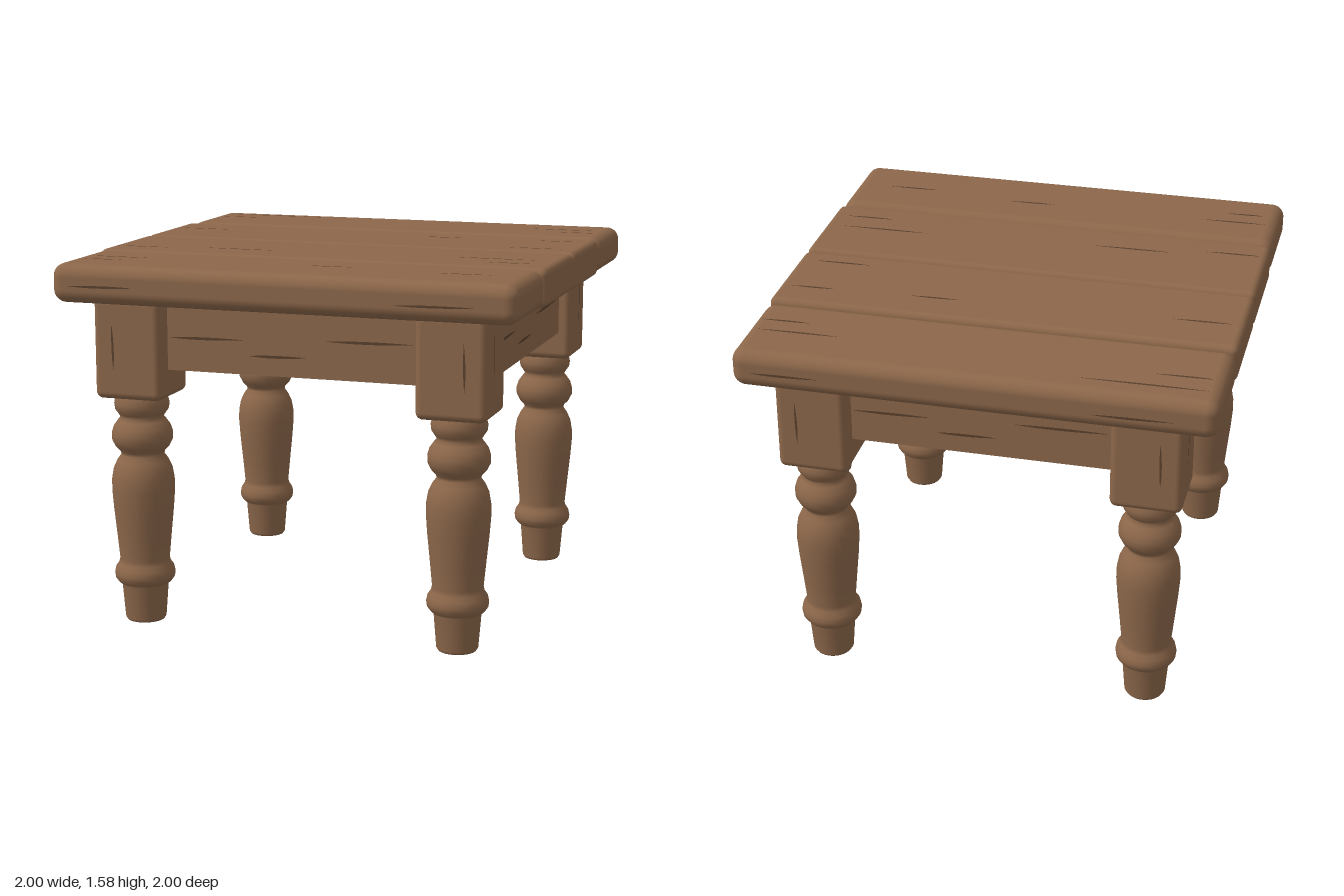
import * as THREE from 'three';
import { RoundedBoxGeometry } from 'three/addons/geometries/RoundedBoxGeometry.js';

export function createModel() {
  const table = new THREE.Group();
  table.name = 'table';
  const wood = new THREE.MeshStandardMaterial({ color: 0x8c674a });
  wood.name = 'brown wood';
  const dark = new THREE.MeshStandardMaterial({ color: 0x59402d });
  dark.name = 'dark grain';

  const add = (parent, geometry, material, name, x = 0, y = 0, z = 0) => {
    const mesh = new THREE.Mesh(geometry, material);
    mesh.name = name;
    mesh.position.set(x, y, z);
    parent.add(mesh);
    return mesh;
  };

  // Thin, slightly bent sliver tapering at both ends, lying in the xy plane
  const sliver = (length, width) => {
    const h = length / 2;
    const s = new THREE.Shape();
    s.moveTo(-h, 0);
    s.quadraticCurveTo(-h * 0.2, -width, h, width * 0.4);
    s.quadraticCurveTo(-h * 0.1, width, -h, 0);
    return new THREE.ShapeGeometry(s, 8);
  };

  // Table top: four planks along x, [z start, z end, edge radius]
  const planks = [[-1, -0.515, 0.055], [-0.505, -0.004, 0.03], [0.005, 0.51, 0.03], [0.522, 1, 0.055]];
  planks.forEach(([z0, z1, r], i) => {
    add(table, new RoundedBoxGeometry(2, 0.165, z1 - z0, 5, r), wood, `plank${i + 1}`, 0, 1.4925, (z0 + z1) / 2);
  });

  // Grain cracks on the planks: [x, z, length]
  const topCracks = [
    [-0.68, -0.89, 0.55], [-0.83, -0.79, 0.25], [0.78, -0.78, 0.36], [0.86, -0.69, 0.22],
    [-0.82, -0.3, 0.26], [0.32, -0.34, 0.22], [0.8, -0.1, 0.26], [0.85, -0.36, 0.2],
    [0.72, 0.28, 0.4], [-0.4, 0.33, 0.36], [-0.85, 0.38, 0.25], [0.82, 0.39, 0.22],
    [-0.8, 0.72, 0.3], [0.14, 0.72, 0.22], [0.72, 0.76, 0.24], [-0.84, 0.81, 0.18],
  ];
  for (const [x, z, length] of topCracks) {
    const crack = add(table, sliver(length, 0.012), dark, 'plankCrack', x, 1.5765, z);
    crack.rotation.x = -Math.PI / 2;
  }
  for (const side of [1, -1]) {
    for (const [x, y, length] of [[-0.77, 1.485, 0.3], [0.66, 1.475, 0.34]]) {
      const crack = add(table, sliver(length, 0.01), dark, 'edgeCrack', x * side, y, side * 1.001);
      crack.rotation.y = side > 0 ? 0 : Math.PI;
    }
  }

  // Apron: solid frame below the planks, set back from the leg blocks
  const apronX = 0.8, apronZ = 0.81;
  add(table, new THREE.BoxGeometry(apronX * 2, 0.3, apronZ * 2), wood, 'apron', 0, 1.27, 0);
  for (let i = 0; i < 4; i++) {
    const face = new THREE.Group();
    face.name = 'apronGrain';
    face.rotation.y = (i * Math.PI) / 2;
    table.add(face);
    const out = (i % 2 ? apronX : apronZ) + 0.002;
    for (const [x, y, length] of [[-0.38, 1.26, 0.34], [0.34, 1.28, 0.4], [-0.06, 1.2, 0.26]]) {
      add(face, sliver(length, 0.012), dark, 'apronCrack', x, y, out);
    }
  }

  // Turned leg profile: tapered foot, ring, vase and two beads
  const profile = [
    [0, 0], [0.08, 0], [0.088, 0.012], [0.1, 0.16], [0.115, 0.172], [0.128, 0.19], [0.131, 0.21],
    [0.126, 0.235], [0.112, 0.255], [0.107, 0.275], [0.117, 0.38], [0.129, 0.5], [0.135, 0.58],
    [0.134, 0.63], [0.126, 0.675], [0.11, 0.71], [0.092, 0.735], [0.095, 0.75], [0.116, 0.772],
    [0.13, 0.8], [0.131, 0.83], [0.122, 0.86], [0.104, 0.885], [0.092, 0.9], [0.101, 0.915],
    [0.115, 0.935], [0.118, 0.96], [0.112, 0.985], [0.1, 1.02],
  ].map(([r, y]) => new THREE.Vector2(r, y));
  const turning = new THREE.LatheGeometry(profile, 32);
  const block = new RoundedBoxGeometry(0.3, 0.43, 0.3, 4, 0.03);

  for (const sx of [1, -1]) {
    for (const sz of [1, -1]) {
      const leg = new THREE.Group();
      leg.name = `${sz > 0 ? 'front' : 'back'}${sx > 0 ? 'Left' : 'Right'}Leg`;
      leg.position.set(sx * 0.704, 0, sz * 0.75);
      table.add(leg);
      add(leg, turning, wood, 'turnedLeg');
      add(leg, block, wood, 'legBlock', 0, 1.21, 0);
      // Upright cracks on the two outer block faces
      const front = add(leg, sliver(0.2, 0.01), dark, 'blockCrack', sx * 0.06, 1.22, sz * 0.152);
      front.rotation.set(0, sz > 0 ? 0 : Math.PI, Math.PI / 2);
      const side = add(leg, sliver(0.22, 0.01), dark, 'blockCrack', sx * 0.152, 1.27, sz * 0.03);
      side.rotation.set(0, (sx * Math.PI) / 2, Math.PI / 2);
    }
  }
  return table;
}
